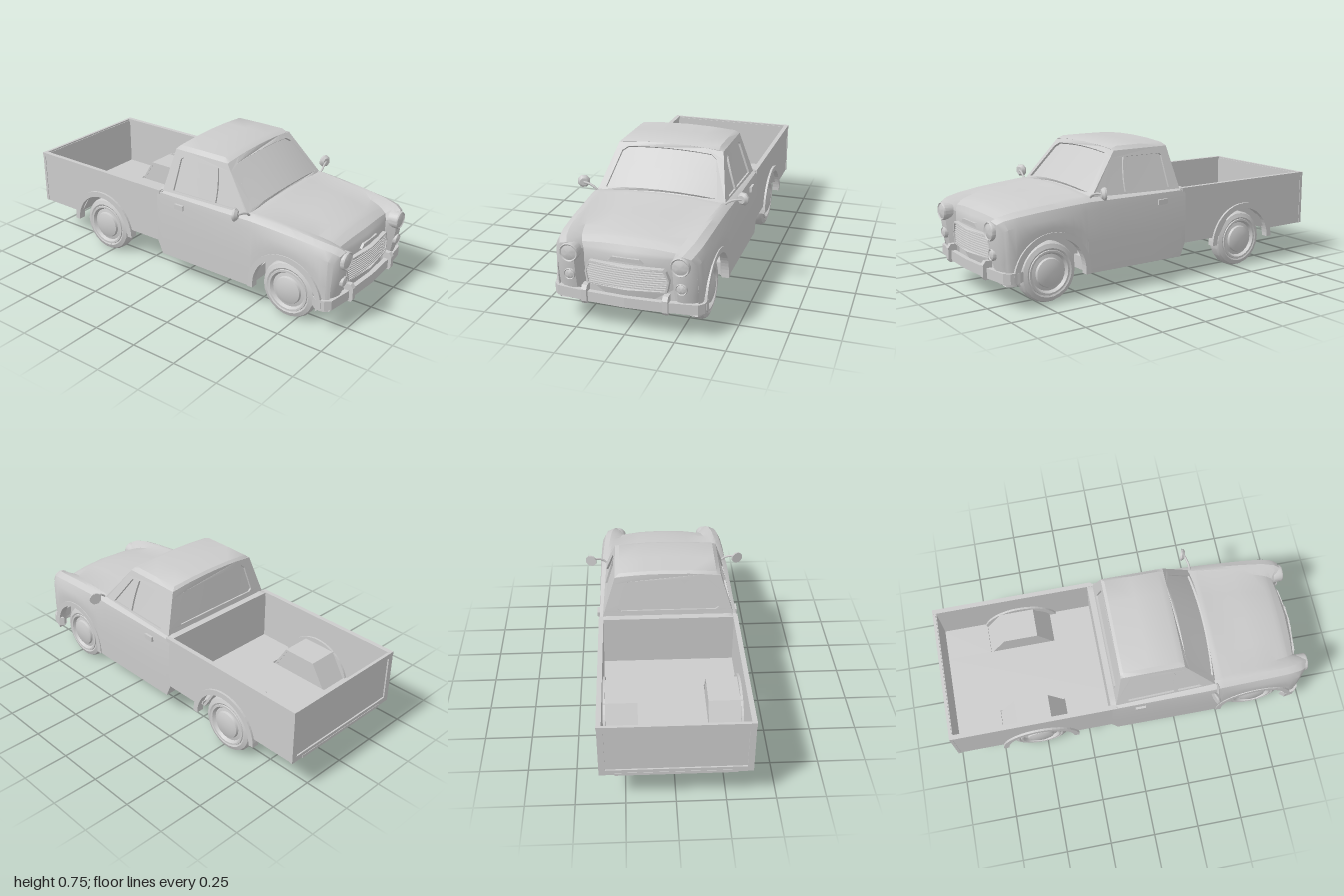
import * as THREE from 'three';
import { toCreasedNormals } from 'three/addons/utils/BufferGeometryUtils.js';

const V = (x, y, z) => new THREE.Vector3(x, y, z);
const mat = new THREE.MeshStandardMaterial({ color: 0xcccccc, side: THREE.DoubleSide });
const WHEEL_Y = 0.16, FRONT_Z = 0.7, REAR_Z = -0.53;

export function createModel() {
  const model = new THREE.Group();
  const add = (name, geo, x = 0, y = 0, z = 0) => {
    const mesh = new THREE.Mesh(geo, mat);
    mesh.name = name;
    mesh.position.set(x, y, z);
    model.add(mesh);
    return mesh;
  };
  // Adds a part on the left and its mirror image on the right
  const pair = (name, geo, x = 0, y = 0, z = 0) => {
    const left = add(name + 'Left', geo, x, y, z);
    const right = add(name + 'Right', geo, -x, y, z);
    right.scale.x = -1;
    return [left, right];
  };
  // Box given by its limits
  const box = (x0, x1, y0, y1, z0, z1) =>
    new THREE.BoxGeometry(x1 - x0, y1 - y0, z1 - z0).translate((x0 + x1) / 2, (y0 + y1) / 2, (z0 + z1) / 2);
  const poly = (pts) => new THREE.Shape(pts.map(([a, b]) => new THREE.Vector2(a, b)));
  const extrude = (shape, depth) =>
    new THREE.ExtrudeGeometry(shape, { depth, bevelEnabled: false, curveSegments: 14 });
  // Side profile drawn in (z, y), extruded from x0 to x1
  const across = (shape, x0, x1) => extrude(shape, x1 - x0).rotateY(-Math.PI / 2).translate(x1, 0, 0);

  // Skin through half sections (side to centre) that are mirrored across x = 0
  function loft(sections, crease = 0.5) {
    const rows = sections.map((s) => [...s, ...s.slice(0, -1).reverse().map(([x, y, z]) => [-x, y, z])]);
    const n = rows[0].length, index = [];
    for (let s = 0; s < rows.length - 1; s++) {
      for (let i = 0; i < n - 1; i++) {
        const a = s * n + i, d = a + n;
        index.push(a, a + 1, d + 1, a, d + 1, d);
      }
    }
    const geo = new THREE.BufferGeometry();
    geo.setAttribute('position', new THREE.Float32BufferAttribute(rows.flat(2), 3));
    geo.setIndex(index);
    return toCreasedNormals(geo, crease);
  }

  // Lower cab, fenders and hood: z, side x, side top y, crest x/y, hood edge x/y, centre y
  const keys = [
    [-0.12, 0.376, 0.46, 0.355, 0.5, 0.3, 0.503, 0.503],
    [0.42, 0.378, 0.455, 0.35, 0.507, 0.315, 0.512, 0.525],
    [0.48, 0.378, 0.45, 0.345, 0.512, 0.315, 0.517, 0.54],
    [0.6, 0.378, 0.44, 0.335, 0.507, 0.3, 0.507, 0.52],
    [0.75, 0.377, 0.43, 0.325, 0.495, 0.275, 0.487, 0.505],
    [0.88, 0.372, 0.42, 0.315, 0.478, 0.25, 0.457, 0.478],
    [0.95, 0.364, 0.41, 0.3, 0.465, 0.235, 0.432, 0.447],
    [0.985, 0.35, 0.395, 0.285, 0.447, 0.222, 0.4, 0.4],
  ];
  function bodySection(z) {
    let k = 0;
    while (k < keys.length - 2 && z > keys[k + 1][0]) k++;
    const t = (z - keys[k][0]) / (keys[k + 1][0] - keys[k][0]);
    const [, w, ys, xc, yc, xh, yh, y0] = keys[k].map((v, i) => v + (keys[k + 1][i] - v) * t);
    const r = 0.2, dz = z - FRONT_Z;
    let yb = Math.abs(dz) < r + 1e-4 ? 0.155 + Math.sqrt(Math.max(0, r * r - dz * dz)) : 0.13;
    if (z < -0.1) yb = 0.2;
    const nose = Math.max(0, (z - 0.85) / 0.135) ** 2;
    return [
      [w - 0.04, yb, z - 0.04 * nose], [w, yb, z - 0.04 * nose],
      [w + 0.004, (yb + ys) / 2, z - 0.035 * nose], [w, ys, z - 0.03 * nose],
      [(w + xc) / 2 + 0.008, (ys + yc) / 2 + 0.012, z - 0.01 * nose], [xc, yc, z],
      [(xc + xh) / 2, (yc + yh) / 2 + 0.004, z - 0.005 * nose], [xh, yh, z - 0.05 * nose],
      [xh * 0.55, yh + (y0 - yh) * 0.75, z - 0.035 * nose], [0, y0, z - 0.025 * nose],
    ];
  }
  const stations = [-0.12, -0.09, 0.1, 0.3, 0.42, 0.48, 0.499];
  for (let i = 0; i <= 10; i++) stations.push(FRONT_Z - 0.2 * Math.cos((i * Math.PI) / 10));
  stations.push(0.902, 0.95, 0.97, 0.985);
  const sections = stations.map(bodySection);
  const nose = sections[sections.length - 1];
  for (const [y, dz] of [[0.335, 0], [0.24, -0.015], [0.13, -0.04]])
    sections.push(nose.map((p) => [p[0], Math.min(p[1], y), p[2] + dz]));
  add('bodyShell', loft(sections));
  add('cabFloor', across(poly([[-0.09, 0.131], [0.49, 0.131], [0.49, 0.2], [-0.118, 0.2]]), -0.37, 0.37));
  add('engineBay', box(-0.23, 0.23, 0.131, 0.4, 0.47, 0.92));
  add('cabBack', box(-0.37, 0.37, 0.19, 0.5, -0.11, -0.09));

  // Curved cab wall with window openings, mapped from a unit square, and its glass
  function wall(A, B, C, D, low, high, holes) {
    const n = B.clone().sub(A).cross(D.clone().sub(A)).normalize();
    const place = (u, v, d) => {
      const c = 1 - (2 * u - 1) ** 2;
      const b = A.clone().lerp(B, u).addScaledVector(low, c);
      const t = D.clone().lerp(C, u).addScaledVector(high, c);
      return b.lerp(t, v).addScaledVector(n, d);
    };
    const divide = (pts) => pts.flatMap((p, i) => {
      const q = pts[(i + 1) % pts.length];
      return Array.from({ length: 6 }, (_, k) => new THREE.Vector2(...p).lerp(new THREE.Vector2(...q), k / 6));
    });
    const mapped = (geo, dist) => {
      const p = geo.attributes.position;
      for (let i = 0; i < p.count; i++) {
        const q = place(p.getX(i), p.getY(i), dist(p.getZ(i)));
        p.setXYZ(i, q.x, q.y, q.z);
      }
      geo.computeVertexNormals();
      return geo;
    };
    const shape = new THREE.Shape(divide([[0, 0], [1, 0], [1, 1], [0, 1]]));
    shape.holes = holes.map((h) => new THREE.Path(divide(h)));
    return [
      mapped(extrude(shape, 1), (w) => 0.014 * (w - 1)),
      mapped(new THREE.PlaneGeometry(0.96, 0.98, 10, 2).translate(0.5, 0.5, 0), () => -0.011),
    ];
  }
  const none = V(0, 0, 0);
  const [shieldFrame, shieldGlass] = wall(
    V(-0.345, 0.507, 0.455), V(0.345, 0.507, 0.455), V(0.285, 0.725, 0.28), V(-0.285, 0.725, 0.28),
    V(0, 0.03, 0.025), V(0, 0.018, 0.003),
    [[[0.06, 0.07], [0.94, 0.07], [0.935, 0.82], [0.89, 0.9], [0.11, 0.9], [0.065, 0.82]]]);
  add('windshieldFrame', shieldFrame);
  add('windshield', shieldGlass);
  const [backFrame, backGlass] = wall(
    V(0.358, 0.495, -0.095), V(-0.358, 0.495, -0.095), V(-0.285, 0.725, -0.055), V(0.285, 0.725, -0.055),
    none, V(0, 0.018, 0),
    [[[0.1, 0.2], [0.13, 0.15], [0.87, 0.15], [0.9, 0.2], [0.9, 0.78], [0.87, 0.86], [0.13, 0.86], [0.1, 0.78]]]);
  add('rearWindowFrame', backFrame);
  add('rearWindow', backGlass);
  const [sideFrame, sideGlass] = wall(
    V(0.345, 0.5, 0.46), V(0.358, 0.495, -0.095), V(0.285, 0.725, -0.055), V(0.285, 0.725, 0.28), none, none,
    [[[0.41, 0.08], [0.88, 0.08], [0.87, 0.8], [0.84, 0.85], [0.27, 0.85]],
      [[0.13, 0.08], [0.37, 0.08], [0.22, 0.85], [0.14, 0.8]]]);
  pair('doorFrame', sideFrame);
  pair('doorGlass', sideGlass);

  // Roof with a soft crown
  const roofRow = (z, drop) => [
    [0.285, 0.725, z], [0.262, 0.745 - drop, z], [0.13, 0.754 - drop, z], [0, 0.757 - drop, z]];
  add('roof', loft([roofRow(-0.056, 0.014), roofRow(-0.04, 0.002), roofRow(0.1, 0), roofRow(0.25, 0), roofRow(0.283, 0.014)], 0.6));

  // Wheel arch lips
  const arch = (z, foot) => {
    const s = new THREE.Shape();
    s.moveTo(z + 0.217, foot);
    s.absarc(z, 0.155, 0.217, 0, Math.PI, false);
    s.lineTo(z - 0.217, foot);
    s.lineTo(z - 0.187, foot);
    s.absarc(z, 0.155, 0.187, Math.PI, 0, true);
    s.lineTo(z + 0.187, foot);
    return s;
  };
  pair('frontArch', across(arch(FRONT_Z, 0.13), 0.345, 0.384));
  pair('rearArch', across(arch(REAR_Z, 0.2 - 0.045), 0.345, 0.385));

  // Load bed with arched sides, wheel tubs and tailgate
  const side = new THREE.Shape();
  side.moveTo(-0.1, 0.2);
  side.lineTo(-0.1, 0.5);
  side.lineTo(-0.995, 0.5);
  side.lineTo(-0.995, 0.2);
  side.lineTo(REAR_Z - 0.195, 0.2);
  side.absarc(REAR_Z, 0.155, 0.2, Math.PI - 0.227, 0.227, true);
  pair('bedSide', across(side, 0.357, 0.373));
  pair('bedRail', box(0.353, 0.378, 0.483, 0.504, -0.998, -0.1));
  add('bedFront', box(-0.36, 0.36, 0.2, 0.5, -0.125, -0.108));
  add('bedFloor', box(-0.18, 0.18, 0.2, 0.22, -0.99, -0.1));
  pair('bedFloorFront', box(0.18, 0.36, 0.2, 0.22, -0.36, -0.1));
  pair('bedFloorRear', box(0.18, 0.36, 0.2, 0.22, -0.99, -0.73));
  pair('wheelTub', across(poly([
    [-0.36, 0.2], [-0.45, 0.345], [-0.64, 0.345], [-0.73, 0.2],
    [-0.715, 0.2], [-0.632, 0.335], [-0.458, 0.335], [-0.375, 0.2]]), 0.18, 0.36));
  pair('wheelTubWall', across(poly([[-0.365, 0.2], [-0.452, 0.342], [-0.638, 0.342], [-0.725, 0.2]]), 0.182, 0.19));
  add('tailgate', box(-0.37, 0.37, 0.202, 0.495, -0.99, -0.978));
  const gate = poly([[-0.376, 0.2], [0.376, 0.2], [0.376, 0.503], [-0.376, 0.503]]);
  gate.holes.push(poly([[-0.345, 0.23], [0.345, 0.23], [0.345, 0.475], [-0.345, 0.475]]));
  add('tailgateFrame', extrude(gate, 0.016), 0, 0, -0.998);
  add('tailgateHinge', box(-0.3, 0.3, 0.196, 0.212, -1, -0.985));

  // Wheels: tyre, stepped rim and domed hub cap, turned about x
  const turned = (pts, seg) => toCreasedNormals(
    new THREE.LatheGeometry(pts.map(([r, h]) => new THREE.Vector2(r, h)), seg).rotateZ(-Math.PI / 2), 0.5);
  const tyre = turned([[0, -0.043], [0.125, -0.045], [0.147, -0.036], [0.155, -0.02], [0.155, 0.02],
    [0.147, 0.036], [0.125, 0.045], [0.115, 0.04]], 22);
  const rim = turned([[0.118, 0.036], [0.114, 0.046], [0.104, 0.046], [0.094, 0.03], [0.076, 0.034],
    [0.072, 0.046], [0.05, 0.054], [0, 0.057]], 24);
  for (const [name, x, z] of [['front', 0.3, FRONT_Z], ['rear', 0.31, REAR_Z]]) {
    pair(name + 'Tyre', tyre, x, WHEEL_Y, z);
    pair(name + 'Rim', rim, x, WHEEL_Y, z);
    add(name + 'Axle', new THREE.CylinderGeometry(0.015, 0.015, 0.5, 10).rotateZ(Math.PI / 2), 0, WHEEL_Y, z);
  }

  // Grille, bent to follow the nose
  const bend = (geo) => {
    const p = geo.attributes.position;
    for (let i = 0; i < p.count; i++) p.setZ(i, p.getZ(i) - 0.5 * p.getX(i) ** 2);
    geo.computeVertexNormals();
    return geo;
  };
  const outline = (d) => [[-0.2 + d, 0.235 + d], [0, 0.235 + d], [0.2 - d, 0.235 + d], [0.213 - d, 0.295],
    [0.197 - d, 0.345 - d], [0.185 - d, 0.356 - d], [0, 0.36 - d], [-0.185 + d, 0.356 - d], [-0.197 + d, 0.345 - d], [-0.213 + d, 0.295]];
  const frame = poly(outline(0));
  frame.holes.push(poly(outline(0.008)));
  add('grilleFrame', bend(extrude(frame, 0.035)), 0, 0, 0.945);
  for (let i = 0; i < 9; i++) {
    const y = 0.249 + i * 0.0118;
    const half = 0.207 - Math.abs(y - 0.295) * 0.25;
    add('grilleBar' + (i + 1), bend(new THREE.BoxGeometry(half * 2, 0.006, 0.03, 8)), 0, y, 0.96);
  }
  add('hoodTrim', bend(extrude(poly([[-0.088, 0.373], [0.088, 0.373], [0.068, 0.394], [-0.068, 0.394]]), 0.025)), 0, 0, 0.945);

  // Lamps
  const lamp = (r, d) => toCreasedNormals(new THREE.LatheGeometry([[r, -0.04], [r, d * 0.5], [r * 0.92, d],
    [r * 0.8, d * 0.7], [r * 0.72, d * 0.8], [r * 0.4, d * 1.15], [0, d * 1.25]]
    .map(([a, b]) => new THREE.Vector2(a, b)), 18).rotateX(Math.PI / 2), 0.5);
  pair('headlight', lamp(0.048, 0.014), 0.276, 0.396, 0.982);
  pair('indicator', lamp(0.029, 0.012), 0.28, 0.28, 0.975);

  // Bumper with overriders
  const front = [[0.386, 0.885], [0.38, 0.935], [0.355, 0.962], [0.2, 0.982], [0, 0.992]];
  const arc = [...front, ...front.slice(0, -1).reverse().map(([x, z]) => [-x, z])];
  const back = arc.map(([x, z]) => [x * 0.95, z - 0.025]).reverse();
  add('frontBumper', extrude(poly([...arc, ...back]), 0.052).rotateX(Math.PI / 2), 0, 0.2, 0);
  pair('overrider', across(poly([[0.95, 0.14], [0.99, 0.14], [1, 0.155], [1, 0.215], [0.985, 0.235], [0.95, 0.235]]), 0.19, 0.217));

  // Door mirrors and handles
  const stem = new THREE.CatmullRomCurve3([V(0.335, 0.5, 0.46), V(0.36, 0.525, 0.462), V(0.39, 0.537, 0.455), V(0.43, 0.54, 0.445)]);
  pair('mirrorArm', new THREE.TubeGeometry(stem, 8, 0.006, 6));
  const head = new THREE.CylinderGeometry(0.034, 0.034, 0.01, 8).rotateY(Math.PI / 8).rotateX(Math.PI / 2);
  const cap = new THREE.CylinderGeometry(0.022, 0.034, 0.014, 8).rotateY(Math.PI / 8).rotateX(Math.PI / 2);
  pair('mirror', head.rotateY(-0.35), 0.431, 0.54, 0.432);
  pair('mirrorCap', cap.rotateY(-0.35), 0.427, 0.54, 0.443);
  pair('doorHandle', box(0.372, 0.389, 0.432, 0.46, 0.008, 0.064));
  return model;
}
